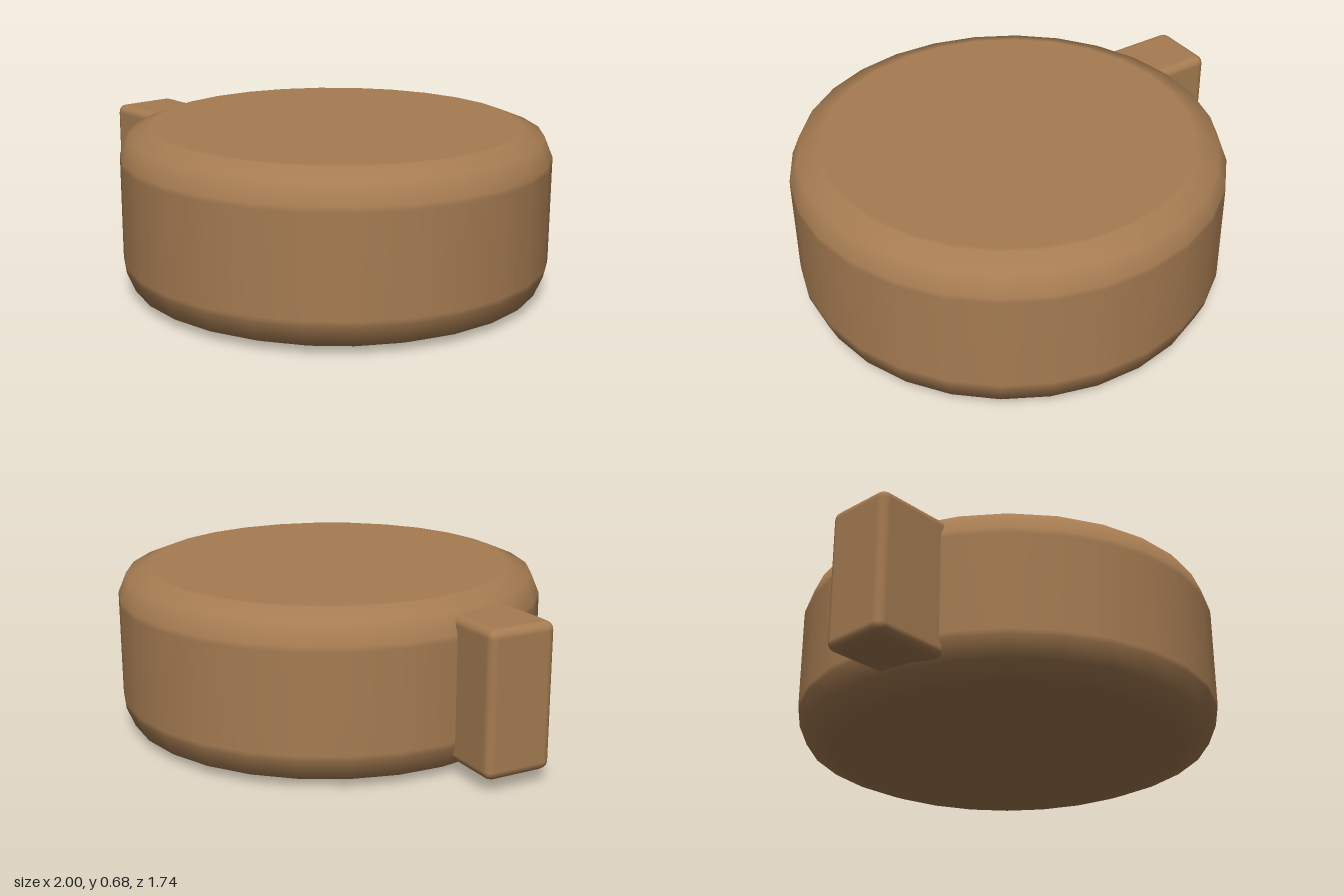
import * as THREE from 'three';
import { RoundedBoxGeometry } from 'three/addons/geometries/RoundedBoxGeometry.js';

export function createModel() {
  const group = new THREE.Group();
  const brown = new THREE.MeshStandardMaterial({ color: 0xa67c52 });
  brown.name = 'warm brown';

  // Round body with a soft bevel; the extra rings keep the caps and wall flat
  const profile = [
    [0, 0], [0.735, 0], [0.75, 0.001], [0.835, 0.037], [0.869, 0.118], [0.87, 0.14],
    [0.87, 0.537], [0.869, 0.559], [0.835, 0.64], [0.75, 0.674], [0.735, 0.675], [0, 0.675],
  ].map(([r, y]) => new THREE.Vector2(r, y));
  const body = new THREE.Mesh(new THREE.LatheGeometry(profile, 28), brown);
  body.name = 'body';
  body.position.x = 0.13;
  group.add(body);

  // Slightly turned block handle, sunk into the body
  const handle = new THREE.Mesh(new RoundedBoxGeometry(0.457, 0.575, 0.284, 2, 0.035), brown);
  handle.name = 'handle';
  handle.position.set(-0.751, 0.34, -0.022);
  handle.rotation.y = -THREE.MathUtils.degToRad(16);
  group.add(handle);

  return group;
}
